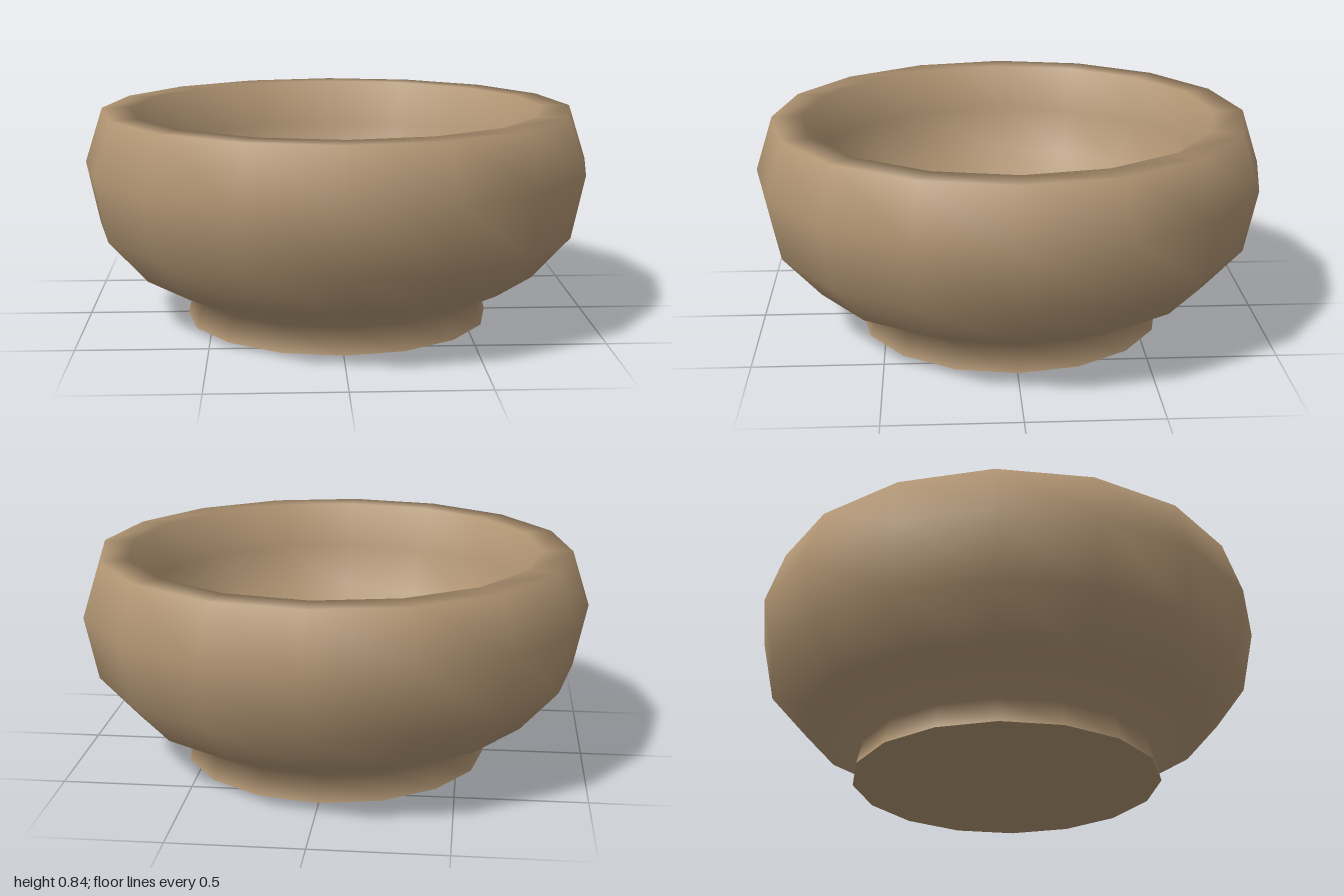
import * as THREE from 'three';

const SIDES = 16;

function lathe(name, profile, material) {
  const points = profile.map(([r, y]) => new THREE.Vector2(r, y));
  const mesh = new THREE.Mesh(new THREE.LatheGeometry(points, SIDES), material);
  mesh.name = name;
  return mesh;
}

export function createModel() {
  const group = new THREE.Group();
  group.name = 'bowl';
  const clay = new THREE.MeshStandardMaterial({ color: 0xb09472 });
  clay.name = 'clay';

  // Rounded hollow, from the inner rim edge down to the centre of the floor
  const hollow = [];
  const steps = 6;
  for (let i = 0; i <= steps; i++) {
    const a = (i / steps) * Math.PI / 2;
    hollow.push([i === steps ? 0 : 0.815 * Math.cos(a), 0.84 - 0.71 * Math.sin(a)]);
  }

  // Flared foot, rounded wall, rim and hollow, as one smooth turned shell
  group.add(lathe('bowlShell', [
    [0.605, 0], [0.58, 0.1], [0.8, 0.21], [0.95, 0.38], [1, 0.625], [0.93, 0.84],
    ...hollow,
  ], clay));

  // Flat underside with a hard edge
  const base = new THREE.Mesh(new THREE.CircleGeometry(0.605, SIDES).rotateX(Math.PI / 2), clay);
  base.name = 'base';
  group.add(base);

  return group;
}
